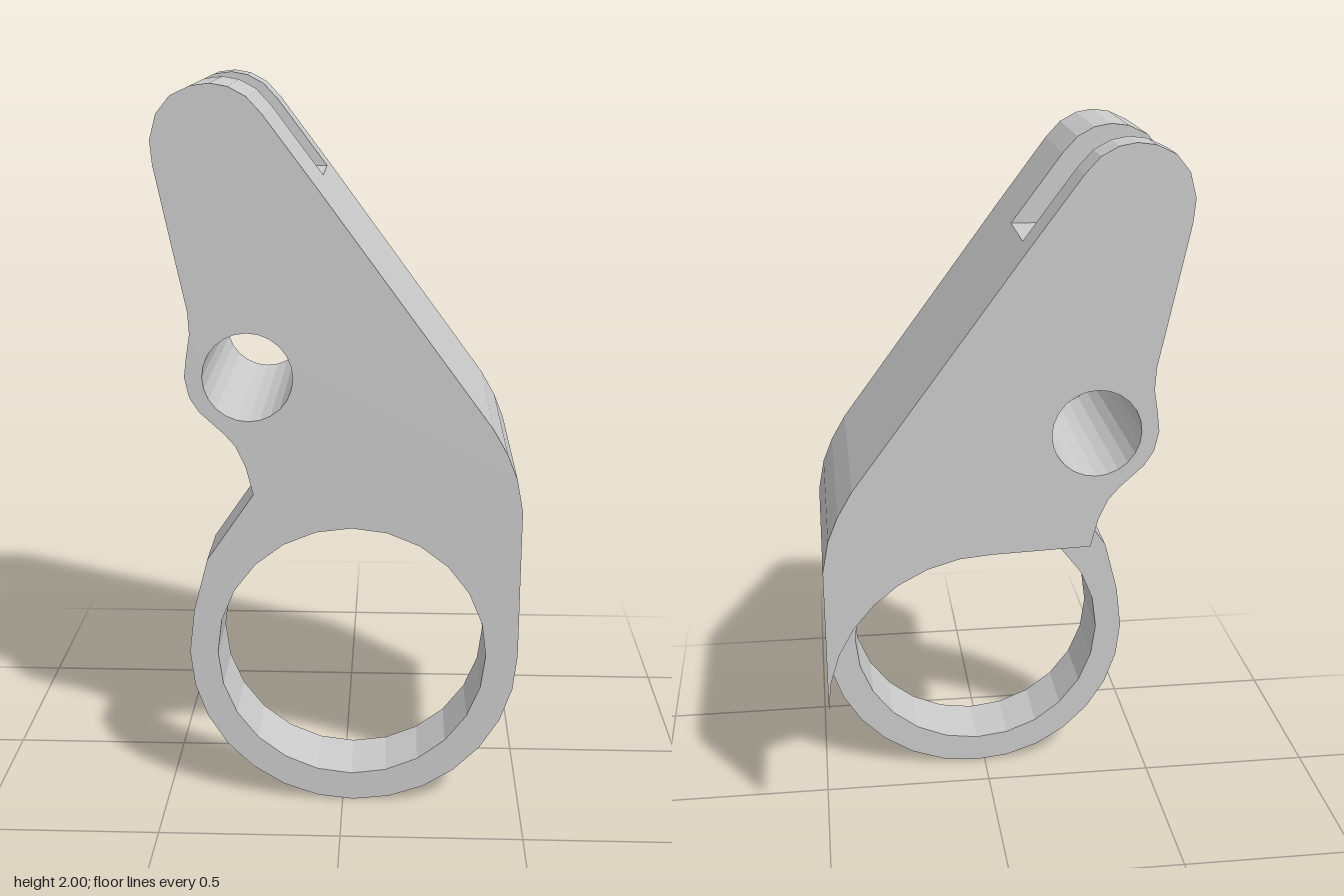
import * as THREE from 'three';
import { mergeGeometries } from 'three/addons/utils/BufferGeometryUtils.js';

const v = (list) => list.map(([x, y]) => new THREE.Vector2(x, y));
const arc = (x, y, r, a0, a1, n) => Array.from({ length: n + 1 }, (_, i) => {
  const a = a0 + (a1 - a0) * i / n;
  return new THREE.Vector2(x + r * Math.cos(a), y + r * Math.sin(a));
});

// Side wall swept along z; the solid lies to the left of the path
function wall(pts, z0, z1, closed = true) {
  const pos = [];
  const count = closed ? pts.length : pts.length - 1;
  for (let i = 0; i < count; i++) {
    const a = pts[i], b = pts[(i + 1) % pts.length];
    pos.push(a.x, a.y, z0, b.x, b.y, z0, b.x, b.y, z1, a.x, a.y, z0, b.x, b.y, z1, a.x, a.y, z1);
  }
  const g = new THREE.BufferGeometry();
  g.setAttribute('position', new THREE.Float32BufferAttribute(pos, 3));
  g.computeVertexNormals();
  return g;
}

// Flat face at depth z, facing +z (dir 1) or -z (dir -1)
function face(pts, z, dir, holes = []) {
  const shape = new THREE.Shape(pts);
  shape.holes = holes.map((h) => new THREE.Path(h));
  const g = new THREE.ShapeGeometry(shape).toNonIndexed();
  g.deleteAttribute('uv');
  if (dir < 0) g.rotateY(Math.PI).scale(-1, 1, 1);
  const p = g.attributes.position;
  for (let i = 0; i < p.count; i++) p.setZ(i, z);
  // Make the winding agree with the facing direction
  const [a, b, c] = [0, 1, 2].map((i) => new THREE.Vector3().fromBufferAttribute(p, i));
  if (b.sub(a).cross(c.sub(a)).z * dir < 0) {
    for (let i = 0; i < p.count; i += 3) {
      const [x, y] = [p.getX(i), p.getY(i)];
      p.setXY(i, p.getX(i + 1), p.getY(i + 1));
      p.setXY(i + 1, x, y);
    }
  }
  g.computeVertexNormals();
  return g;
}

export function createModel() {
  const group = new THREE.Group();
  const material = new THREE.MeshStandardMaterial({ color: 0xcccccc, flatShading: true });
  const add = (name, geos) => {
    const mesh = new THREE.Mesh(mergeGeometries(geos), material);
    mesh.name = name;
    group.add(mesh);
  };
  const PI = Math.PI;
  const front = 0.305, step = 0.115, slotFront = 0.02, slotBack = -0.2, back = -0.305;

  // Outline sections, counter-clockwise
  const right = v([[0.485, 0.455], [0.485, 0.88], [0.468, 0.97], [0.44, 1.04], [0.4, 1.11]]);
  const tip = v([[-0.062, 1.74], [-0.2, 1.925], [-0.24, 1.968], [-0.285, 1.992], [-0.33, 2],
    [-0.378, 1.994], [-0.43, 1.97], [-0.467, 1.925], [-0.485, 1.86], [-0.48, 1.8], [-0.45, 1.65]]);
  const left = v([[-0.403, 1.42], [-0.4, 1.36], [-0.41, 1.3], [-0.417, 1.245], [-0.405, 1.19],
    [-0.38, 1.15], [-0.315, 1.09], [-0.285, 1.055], [-0.26, 1], [-0.24, 0.92]]);
  const ringOuter = [...v([[-0.37, 0.73], [-0.41, 0.58]]), ...arc(0.03, 0.455, 0.455, PI, 2 * PI, 14).slice(0, -1)];
  const cut = arc(0.03, 0.455, 0.455, PI / 2, 0, 8).slice(0, -1);
  const slotFloor = v([[-0.062, 1.74], [-0.255, 1.74], [-0.275, 1.7], [-0.305, 1.65], [-0.45, 1.65]]);

  // Holes, clockwise
  const bore = arc(0.025, 0.455, 0.372, 2 * PI, 0, 24).slice(0, -1);
  const pinHole = arc(-0.25, 1.245, 0.12, 2 * PI, 0, 24).slice(0, -1);

  const upper = [...right, ...tip, ...left, ...cut];
  const full = [...right, ...tip, ...left, ...ringOuter];
  const ear = [...tip, ...slotFloor.slice(1, -1).reverse()];
  const ringFace = [right[0], ...cut.slice().reverse(), left[left.length - 1], ...ringOuter];

  // Front plate with the ring
  add('ringPlate', [
    wall(full, step, front), wall(bore, step, front),
    face(full, front, 1, [bore, pinHole]), face(ringFace, step, -1, [bore]),
  ]);

  // Thick arm behind the plate, up to the fork slot
  add('arm', [
    wall(upper, slotFront, step),
    wall([...right, ...slotFloor, ...left, ...cut], slotBack, slotFront),
    face(ear, slotFront, -1),
  ]);

  // Rear cheek of the fork
  add('rearCheek', [
    wall(upper, back, slotBack), face(upper, back, -1, [pinHole]), face(ear, slotBack, 1),
  ]);

  // Pin hole through the whole depth
  add('pinHole', [wall(pinHole, back, front)]);
  return group;
}
